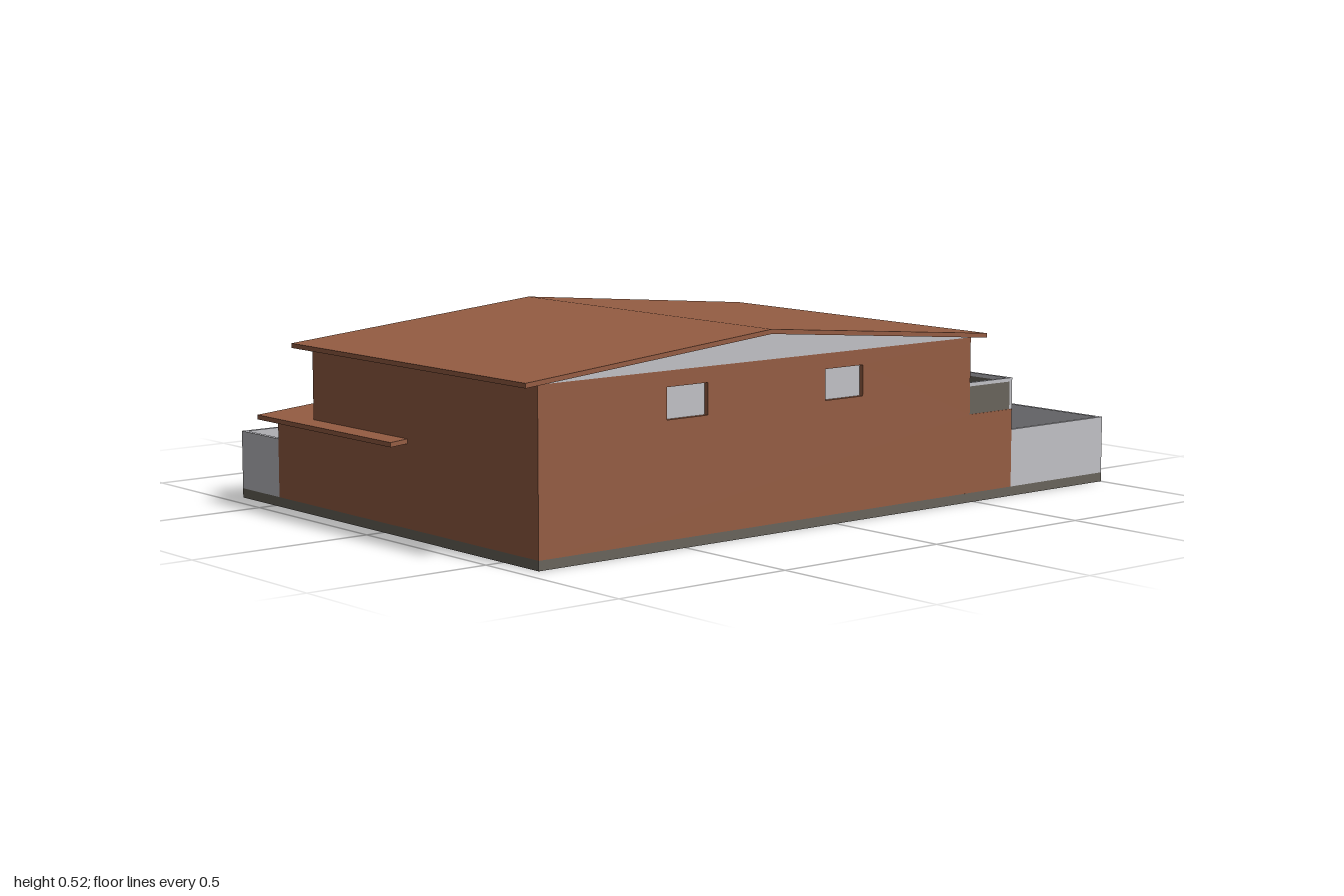
import * as THREE from 'three';

const mat = (name, color, side = THREE.FrontSide) => {
  const m = new THREE.MeshStandardMaterial({ color, side });
  m.name = name;
  return m;
};

export function createModel() {
  const brick = mat('terracotta', 0x955d43);
  const light = mat('light grey', 0xc0c0c5);
  const dark = mat('dark grey', 0x69645b);
  const house = new THREE.Group();
  house.name = 'house';

  const add = (name, geo, m, parent = house) => {
    const mesh = new THREE.Mesh(geo, m);
    mesh.name = name;
    parent.add(mesh);
    return mesh;
  };

  // box given by its limits
  const box = (name, m, x0, x1, y0, y1, z0, z1, parent = house) =>
    add(name, new THREE.BoxGeometry(x1 - x0, y1 - y0, z1 - z0)
      .translate((x0 + x1) / 2, (y0 + y1) / 2, (z0 + z1) / 2), m, parent);

  const polygon = pts => new THREE.Shape(pts.map(p => new THREE.Vector2(...p)));
  const rect = (a, b, c, d) => [[a, c], [b, c], [b, d], [a, d]];
  const extrude = (shape, depth) =>
    new THREE.ExtrudeGeometry(shape, { depth, bevelEnabled: false });

  // wall skin with recessed openings; outer face lies at distance d along its facing
  const T = 0.015;
  const wall = (name, turn, d, outline, openings) => {
    const g = new THREE.Group();
    g.name = name;
    g.rotation.y = turn;
    const shape = polygon(outline);
    for (const [, , a, b, c, e] of openings)
      shape.holes.push(new THREE.Path(rect(a, b, c, e).map(p => new THREE.Vector2(...p))));
    add(name + 'Skin', extrude(shape, T).translate(0, 0, d - T), brick, g);
    for (const [label, m, a, b, c, e] of openings)
      box(label, m, a, b, c, e, d - T - 0.002, d - T + 0.003, g);
    house.add(g);
  };

  // ground slab
  box('groundSlab', dark, -0.95, 1, 0, 0.025, -0.66, 0.64);

  // yard walls
  const W = 0.012, top = 0.18;
  box('yardWallBack', light, -0.95, 1, 0.025, top, -0.66, -0.66 + W);
  box('yardWallSide', light, 1 - W, 1, 0.025, top, -0.66 + W, 0.64 - W);
  box('yardWallFront', light, 0.64, 1, 0.025, top, 0.64 - W, 0.64);
  box('yardWallEnd', light, -0.95, -0.95 + W, 0.025, top, -0.66 + W, -0.48);

  // storey cores behind the wall skins
  box('lowerStorey', brick, -0.95, 0.64 - T, 0.025, 0.234, -0.48 + T, 0.64 - T);
  box('upperStorey', brick, -0.95, 0.48 - T, 0.234, 0.44, -0.31 + T, 0.64 - T);
  box('terraceFloor', brick, 0.46, 0.639, 0.228, 0.236, 0.11, 0.639);

  // wall skins
  const windows = [[-0.56, -0.43], [-0.04, 0.09]];
  wall('frontWall', 0, 0.64,
    [[-0.95, 0.025], [0.64, 0.025], [0.64, 0.235], [0.48, 0.235], [0.48, 0.44], [-0.95, 0.44]],
    windows.map(([a, b]) => ['frontWindow', light, a, b, 0.32, 0.40]));
  wall('upperBackWall', Math.PI, 0.31, rect(-0.48, 0.95, 0.22, 0.44),
    windows.map(([a, b]) => ['backWindow', light, -b, -a, 0.32, 0.40]));
  wall('lowerBackWall', Math.PI, 0.48, rect(-0.64, 0.95, 0.025, 0.235),
    [['backDoor', dark, 0.58, 0.65, 0.03, 0.18]]);
  wall('upperSideWall', Math.PI / 2, 0.48, rect(-0.64 + T, 0.31 - T, 0.22, 0.44), [
    ['sideWindow', light, 0.065, 0.16, 0.32, 0.40],
    ['terraceDoor', light, -0.43, -0.30, 0.24, 0.375],
    ['terraceDoorHead', dark, -0.43, -0.30, 0.376, 0.40]
  ]);
  wall('lowerSideWall', Math.PI / 2, 0.64, rect(-0.64 + T, 0.48 - T, 0.025, 0.235), [
    ['garageDoor', light, -0.57, -0.17, 0.03, 0.195],
    ['sideDoor', dark, 0.065, 0.15, 0.03, 0.18]
  ]);

  // shallow gable roofs, each a bent slab along z
  const roof = (name, x0, xr, x1, eave, ridge, z0, z1) => {
    const t = 0.012;
    add(name, extrude(polygon([[x0, eave], [xr, ridge - t], [x1, eave],
      [x1, eave + t], [xr, ridge], [x0, eave + t]]), z1 - z0).translate(0, 0, z0), brick);
  };
  roof('upperRoof', -1, -0.24, 0.52, 0.438, 0.518, -0.33, 0.66);
  roof('lowerRoof', -1, -0.185, 0.66, 0.234, 0.314, -0.50, 0.11);

  // pale gable infill under the roofs
  const gable = (name, x0, xr, x1, y, ridge, z0, z1) =>
    add(name, extrude(polygon([[x0, y], [x1, y], [xr, ridge]]), z1 - z0).translate(0, 0, z0), light);
  gable('upperGable', -0.95, -0.24, 0.48, 0.44, 0.508, -0.31, 0.64);
  gable('lowerGable', -0.95, -0.185, 0.64, 0.235, 0.304, -0.48, -0.30);

  // terrace railing: dark panels in a pale frame
  const R = 0.01, y0 = 0.236, y1 = 0.32;
  const rails = [
    ['front', 0.48, 0.64 - R, 0.64 - R, 0.64],
    ['side', 0.64 - R, 0.64, 0.11 + R, 0.64 - R],
    ['back', 0.48, 0.64 - R, 0.11, 0.11 + R]
  ];
  for (const [n, a, b, c, d] of rails) {
    box(n + 'RailPanel', dark, a, b, y0, y1 - R, c, d);
    box(n + 'RailCap', light, a, b, y1 - R, y1, c, d);
  }
  for (const z of [0.11, 0.64 - R])
    box('railPost', light, 0.64 - R, 0.64, y0, y1, z, z + R);

  return house;
}
